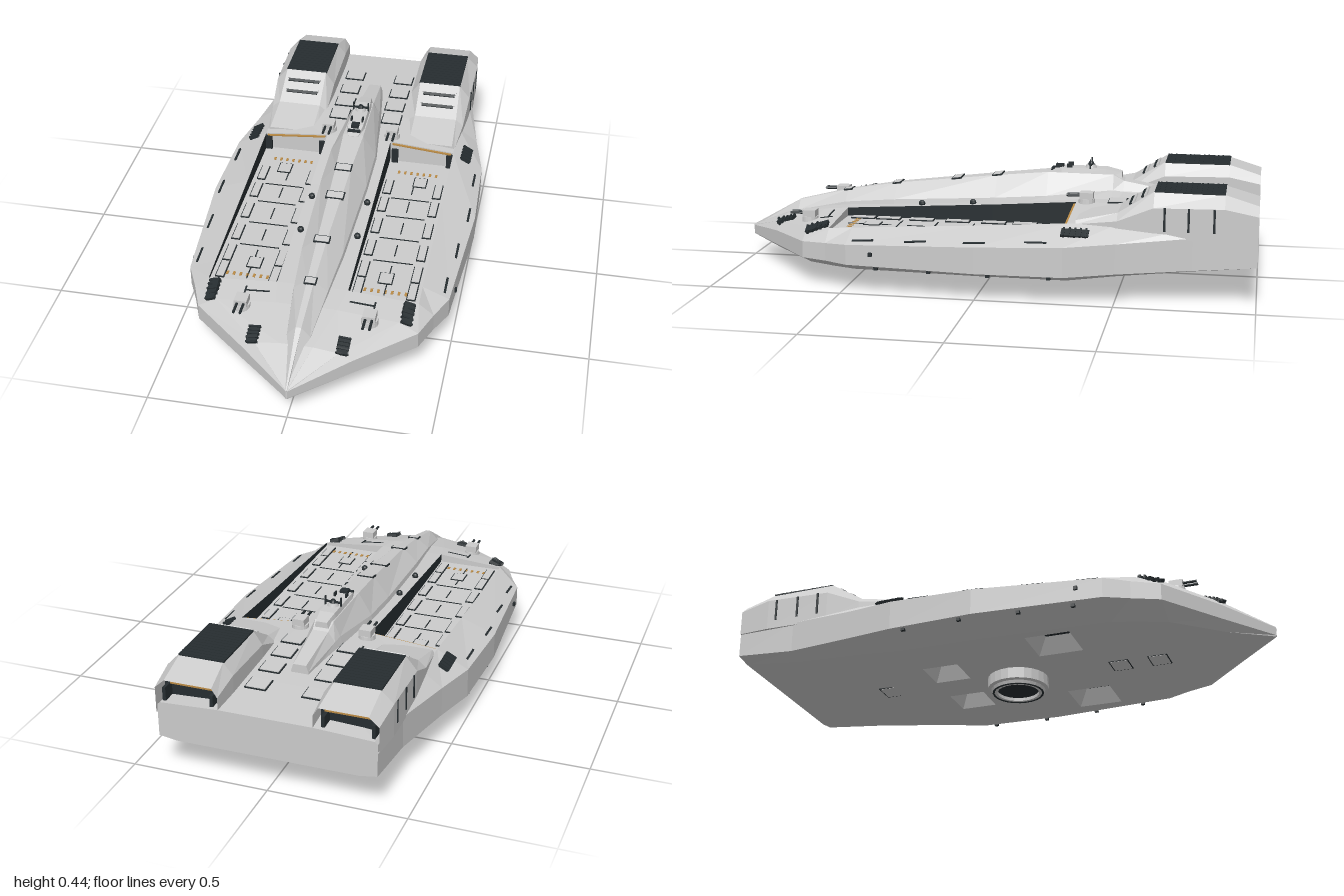
import * as THREE from 'three';

const material = (color) => new THREE.MeshStandardMaterial({ color, flatShading: true, side: THREE.DoubleSide });
const GREY = material(0xcccccc), DARK = material(0x262d30), AMBER = material(0xb98a45);

// hull stations: z, bottom half-width, bottom y, side half-width, chine y, side top y, shoulder x, y, inner deck x, y
const HULL = [
  [1, 0.001, 0.085, 0.002, 0.09, 0.12, 0.0015, 0.122, 0.001, 0.123],
  [0.84, 0.14, 0.067, 0.195, 0.095, 0.15, 0.15, 0.178, 0.06, 0.19],
  [0.67, 0.3, 0.061, 0.4, 0.103, 0.165, 0.33, 0.205, 0.11, 0.225],
  [0.57, 0.34, 0.06, 0.44, 0.105, 0.172, 0.385, 0.216, 0.13, 0.237],
  [0.48, 0.37, 0.06, 0.483, 0.105, 0.18, 0.385, 0.222, 0.13, 0.243],
  [0, 0.39, 0.06, 0.516, 0.102, 0.2, 0.385, 0.25, 0.13, 0.272],
  [-0.32, 0.39, 0.06, 0.503, 0.1, 0.21, 0.385, 0.272, 0.13, 0.295],
  [-0.5, 0.37, 0.08, 0.46, 0.11, 0.22, 0.385, 0.275, 0.15, 0.3],
  [-0.77, 0.34, 0.103, 0.405, 0.122, 0.24, 0.38, 0.27, 0.17, 0.29],
  [-1, 0.33, 0.13, 0.395, 0.14, 0.26, 0.385, 0.27, 0.17, 0.28],
];
const PIT_FIRST = 3, PIT_LAST = 6, FLOOR = 0.205;

// spine stations: z, base half-width, base y, middle half-width, y, top half-width, y
const SPINE = [
  [1, 0.003, 0.1, 0.003, 0.115, 0.002, 0.124],
  [0.8, 0.05, 0.16, 0.042, 0.2, 0.01, 0.236],
  [0.6, 0.07, 0.2, 0.062, 0.245, 0.013, 0.285],
  [0.4, 0.085, 0.22, 0.077, 0.265, 0.018, 0.32],
  [0, 0.1, 0.24, 0.09, 0.29, 0.03, 0.367],
  [-0.2, 0.1, 0.26, 0.09, 0.305, 0.04, 0.388],
  [-0.45, 0.075, 0.27, 0.06, 0.33, 0.035, 0.385],
  [-0.49, 0.068, 0.27, 0.055, 0.325, 0.03, 0.362],
  [-0.69, 0.035, 0.27, 0.032, 0.3, 0.024, 0.325],
];

// nacelle stations: z, inner x, outer x, middle y, top inner x, top outer x, top y
const NACELLE = [
  [-0.35, 0.18, 0.385, 0.27, 0.2, 0.375, 0.283],
  [-0.5, 0.17, 0.4, 0.29, 0.2, 0.37, 0.315],
  [-0.63, 0.165, 0.408, 0.345, 0.2, 0.365, 0.397],
  [-0.88, 0.165, 0.41, 0.35, 0.2, 0.365, 0.393],
  [-1, 0.17, 0.4, 0.325, 0.19, 0.365, 0.357],
];

// Row of a station table interpolated at z
function stationAt(table, z) {
  let i = 0;
  while (i < table.length - 2 && table[i + 1][0] > z) i++;
  const a = table[i], b = table[i + 1], t = (z - a[0]) / (b[0] - a[0]);
  return a.map((v, k) => v + (b[k] - v) * t);
}

// Faceted skin through rows of points, each row being a cross-section
function loft(rows, { closed = true, capFront = false, capBack = false, skip = () => false } = {}) {
  const pos = [], n = rows[0].length;
  const tri = (a, b, c) => pos.push(...a, ...b, ...c);
  for (let i = 0; i < rows.length - 1; i++) {
    for (let j = 0; j < (closed ? n : n - 1); j++) {
      if (skip(i, j)) continue;
      const k = (j + 1) % n, a = rows[i][j], b = rows[i][k], c = rows[i + 1][k], d = rows[i + 1][j];
      tri(a, d, c);
      tri(a, c, b);
    }
  }
  const last = rows[rows.length - 1];
  for (let j = 1; j < n - 1; j++) {
    if (capFront) tri(rows[0][0], rows[0][j], rows[0][j + 1]);
    if (capBack) tri(last[0], last[j + 1], last[j]);
  }
  const g = new THREE.BufferGeometry();
  g.setAttribute('position', new THREE.Float32BufferAttribute(pos, 3));
  g.computeVertexNormals();
  return g;
}

// Full ring from the +x half, which runs from bottom centre to top centre
const mirrorRing = (half) => [...half, ...half.slice(1, -1).reverse().map(([x, y, z]) => [-x, y, z])];

export function createModel() {
  const model = new THREE.Group();
  const add = (name, geometry, mat = GREY, x = 0, y = 0, z = 0) => {
    const mesh = new THREE.Mesh(geometry, mat);
    mesh.name = name;
    mesh.position.set(x, y, z);
    model.add(mesh);
    return mesh;
  };
  const box = (name, w, h, d, x, y, z, mat = GREY) => add(name, new THREE.BoxGeometry(w, h, d), mat, x, y, z);
  const cyl = (name, r1, r2, h, x, y, z, mat = GREY, n = 16) => add(name, new THREE.CylinderGeometry(r1, r2, h, n), mat, x, y, z);

  // Height of the deck at any point
  const deckY = (x, z) => {
    const r = stationAt(HULL, z), p = [[r[3], r[5]], [r[6], r[7]], [r[8], r[9]], [0, r[9]]];
    const k = Math.abs(x) > r[6] ? 0 : Math.abs(x) > r[8] ? 1 : 2;
    return p[k][1] + (p[k + 1][1] - p[k][1]) * (p[k][0] - Math.abs(x)) / (p[k][0] - p[k + 1][0]);
  };
  // Box lying on the deck slope
  const onDeck = (name, w, h, d, x, z, mat) => {
    const m = box(name, w, h, d, x, deckY(x, z) + h / 2 - 0.004, z, mat), e = 0.01;
    m.rotation.x = -Math.atan((deckY(x, z + e) - deckY(x, z - e)) / (2 * e));
    m.rotation.z = Math.atan((deckY(x + e, z) - deckY(x - e, z)) / (2 * e));
    return m;
  };

  // Hull, left open for the two deck wells and the flat middle of the belly
  const inWell = (i) => i >= PIT_FIRST && i < PIT_LAST;
  const hullRows = HULL.map(([z, wb, yb, w, yc, ys, sx, sy, ix, iy]) =>
    mirrorRing([[0, yb, z], [wb, yb, z], [w, yc, z], [w, ys, z], [sx, sy, z], [ix, iy, z], [0, iy, z]]));
  add('hull', loft(hullRows, { capFront: true, capBack: true, skip: (i, j) => inWell(i) && [0, 4, 7, 11].includes(j) }));

  // Belly with four tapered recesses
  const middle = HULL.slice(PIT_FIRST, PIT_LAST + 1);
  const belly = new THREE.Shape([...middle.map((r) => new THREE.Vector2(r[1], r[0])),
    ...middle.slice().reverse().map((r) => new THREE.Vector2(-r[1], r[0]))]);
  const square = (x, y, z, a) => [[x - a, y, z - a], [x - a, y, z + a], [x + a, y, z + a], [x + a, y, z - a]];
  for (const [x, z, a] of [[0.26, 0.23, 0.085], [0.14, -0.24, 0.07]]) {
    for (const s of [1, -1]) {
      belly.holes.push(new THREE.Path(square(s * x, 0, z, a).map((p) => new THREE.Vector2(p[0], p[2]))));
      add('bellyRecess', loft([square(s * x, 0.06, z, a), square(s * x, 0.12, z, a * 0.55)]), GREY);
      box('bellyRecessHatch', a * 1.1, 0.004, a * 1.1, s * x, 0.12, z, DARK);
    }
  }
  add('belly', new THREE.ShapeGeometry(belly).rotateX(Math.PI / 2), GREY, 0, 0.06, 0);
  for (const [z, y] of [[0.56, 0.06], [0.41, 0.06], [-0.53, 0.083]]) {
    box('bellyPanelSeam', 0.09, 0.004, 0.075, 0, y, z, DARK);
    box('bellyPanel', 0.082, 0.006, 0.067, 0, y, z);
  }

  // Belly drum: a lathed ring with a dark core
  const drum = [[0.078, 0.03], [0.08, 0.003], [0.1, 0.003], [0.104, 0.014], [0.117, 0.018], [0.117, 0.065]];
  add('bellyDrum', new THREE.LatheGeometry(drum.map(([x, y]) => new THREE.Vector2(x, y)), 24));
  cyl('bellyDrumCore', 0.08, 0.08, 0.02, 0, 0.025, 0, DARK, 24);
  cyl('bellyDrumLip', 0.105, 0.1, 0.01, 0, 0.005, 0, DARK, 24).geometry = new THREE.TorusGeometry(0.095, 0.005, 6, 24).rotateX(Math.PI / 2);

  // Central spine and bridge
  add('spine', loft(SPINE.map(([z, wb, yb, wm, ym, wt, yt]) =>
    mirrorRing([[0, yb, z], [wb, yb, z], [wm, ym, z], [wt, yt, z], [0, yt, z]])), { capFront: true, capBack: true }));
  for (const [z, w, d] of [[0.6, 0.045, 0.035], [0.4, 0.06, 0.035], [0.16, 0.07, 0.04], [0, 0.065, 0.04]]) {
    const y = stationAt(SPINE, z)[6];
    box('spinePanelSeam', w, 0.006, d, 0, y, z, DARK).rotation.x = 0.14;
    box('spinePanel', w - 0.008, 0.009, d - 0.008, 0, y, z).rotation.x = 0.14;
  }
  const bridge = (z, w, y) => [[-w, 0.37, z], [w, 0.37, z], [w * 0.8, y, z], [-w * 0.8, y, z]];
  add('bridge', loft([bridge(-0.19, 0.025, 0.388), bridge(-0.25, 0.038, 0.405), bridge(-0.42, 0.036, 0.405), bridge(-0.48, 0.026, 0.392)], { capFront: true, capBack: true }));
  box('bridgeWindow', 0.05, 0.008, 0.012, 0, 0.397, -0.215, DARK);
  cyl('sensorBase', 0.018, 0.022, 0.012, 0, 0.41, -0.36);
  cyl('sensorDome', 0.008, 0.014, 0.012, 0, 0.421, -0.36, DARK, 10);
  for (const s of [1, -1]) {
    box('sensorArm', 0.024, 0.005, 0.01, s * 0.018, 0.418, -0.36, DARK);
    box('bridgeMast', 0.005, 0.035, 0.005, s * 0.03, 0.421, -0.36, DARK);
    box('bridgeAerial', 0.006, 0.018, 0.02, s * 0.022, 0.41, -0.28, DARK);
  }
  box('bridgeRadar', 0.03, 0.012, 0.03, 0, 0.408, -0.24, DARK);

  for (const s of [1, -1]) {
    // Deck well: floor, dark side walls and end walls
    const strip = (a, b) => middle.map((r) => [a(r), b(r)].map(([x, y]) => [s * x, y, r[0]]));
    add('wellOuterWall', loft(strip((r) => [r[6], r[7]], (r) => [r[6], FLOOR]), { closed: false }), DARK);
    add('wellInnerWall', loft(strip((r) => [r[8], FLOOR], (r) => [r[8], r[9]]), { closed: false }), DARK);
    add('wellFloor', loft(strip((r) => [s > 0 ? r[6] : r[8], FLOOR], (r) => [s > 0 ? r[8] : r[6], FLOOR]), { closed: false }));
    for (const r of [middle[0], middle[middle.length - 1]]) {
      add('wellEndWall', loft([[[s * r[8], r[9], r[0]], [s * r[6], r[7], r[0]]], [[s * r[8], FLOOR, r[0]], [s * r[6], FLOOR, r[0]]]], { closed: false }));
    }
    box('wellEndStrip', 0.24, 0.005, 0.008, s * 0.258, 0.277, -0.315, AMBER).rotation.z = -s * 0.09;
    for (const x of [0.15, 0.372]) box('wellEndPillar', 0.026, 0.06, 0.012, s * x, FLOOR + 0.03, -0.312, DARK);

    // Well floor fittings
    for (const z of [-0.13, -0.01, 0.13, 0.27, 0.4, 0.5]) {
      for (const x of [0.155, 0.352]) {
        box('floorLockerSeam', 0.034, 0.008, 0.094, s * x, FLOOR, z, DARK);
        box('floorLocker', 0.027, 0.014, 0.087, s * x, FLOOR, z);
      }
      box('floorSeam', 0.004, 0.004, 0.07, s * 0.253, FLOOR, z, DARK);
    }
    for (const z of [-0.06, 0.06, 0.2, 0.34]) box('floorCrossSeam', 0.15, 0.004, 0.004, s * 0.253, FLOOR, z, DARK);
    for (const [x, z] of [[0.275, -0.18], [0.245, 0.44]]) {
      box('floorHatchSeam', 0.054, 0.006, 0.064, s * x, FLOOR, z, DARK);
      box('floorHatch', 0.047, 0.009, 0.057, s * x, FLOOR, z);
    }
    for (let i = 0; i < 7; i++) {
      for (const z of [-0.24, 0.515]) box('floorMarker', 0.009, 0.004, 0.018, s * (0.18 + i * 0.025), FLOOR, z, AMBER);
    }

    // Engine nacelle with open stern
    const shell = NACELLE.map(([z, xi, xo, ym, ti, to, yt]) => {
      const ring = [[xi, 0.23, z], [xo, 0.23, z], [xo, ym, z], [to, yt, z], [ti, yt, z], [xi, ym, z]];
      return s > 0 ? ring : ring.map(([x, y, w]) => [-x, y, w]).reverse();
    });
    add('nacelle', loft(shell, { capFront: true }));
    box('engineBack', 0.22, 0.085, 0.01, s * 0.285, 0.285, -0.93, DARK);
    box('engineStrip', 0.17, 0.006, 0.02, s * 0.28, 0.325, -0.945, AMBER);
    for (const x of [0.2, 0.375]) box('engineFrame', 0.012, 0.06, 0.05, s * x, 0.29, -0.96, DARK);

    // Roof grille, slope slats and side slots
    box('roofGrille', 0.17, 0.006, 0.25, s * 0.282, 0.395, -0.755, DARK);
    for (let i = 0; i < 13; i++) box('grilleBar', 0.168, 0.005, 0.006, s * 0.282, 0.397, -0.643 - i * 0.0187, DARK);
    for (const [y, z] of [[0.344, -0.545], [0.372, -0.588]]) {
      box('slopeSlat', 0.13, 0.009, 0.012, s * 0.285, y, z, DARK).rotation.x = 0.57;
      box('slopeSlatCover', 0.14, 0.009, 0.012, s * 0.285, y + 0.006, z - 0.01).rotation.x = 0.57;
    }
    for (const z of [-0.67, -0.755, -0.845]) box('sideSlot', 0.006, 0.085, 0.008, s * 0.409, 0.305, z, DARK);

    // Aft deck panels
    for (const [x, z] of [[0.105, -0.805], [0.105, -0.685], [0.105, -0.575], [0.108, -0.475]]) {
      onDeck('aftPanelSeam', 0.08, 0.008, 0.07, s * x, z, DARK);
      onDeck('aftPanel', 0.072, 0.011, 0.062, s * x, z);
    }

    // Louvred deck pads
    for (const [x, z, d] of [[0.355, 0.625, 0.09], [0.16, 0.81, 0.07], [0.435, -0.355, 0.1]]) {
      onDeck('louvrePad', 0.038, 0.012, d, s * x, z, DARK);
      for (let i = 0; i < 5; i++) onDeck('louvre', 0.044, 0.016, 0.007, s * x, z + (i - 2) * d / 5, DARK);
    }

    // Twin-barrel turrets on the bow and beside the bridge
    for (const [x, z] of [[0.23, 0.69], [0.13, -0.36]]) {
      const y = deckY(x, z);
      cyl('turretBase', 0.03, 0.032, 0.02, s * x, y + 0.004, z);
      box('turretBody', 0.046, 0.026, 0.05, s * x, y + 0.026, z);
      for (const o of [-0.012, 0.012]) {
        cyl('turretBarrel', 0.005, 0.005, 0.06, s * x + o, y + 0.027, z + 0.045, DARK, 8).rotation.x = Math.PI / 2;
      }
    }

    // Rim sensors, bow seams, hull side seams and fender pegs
    for (const z of [0.28, 0.08]) add('rimSensor', new THREE.SphereGeometry(0.013, 8, 6), DARK, s * 0.108, deckY(0.108, z) + 0.006, z);
    onDeck('bowSeam', 0.09, 0.006, 0.006, s * 0.19, 0.62, DARK);
    onDeck('bowSeam', 0.006, 0.006, 0.05, s * 0.235, 0.625, DARK);
    for (const z of [0.42, 0.22, 0, -0.22]) {
      onDeck('sideDeckSeam', 0.008, 0.007, 0.08, s * (stationAt(HULL, z)[3] - 0.025), z, DARK);
      box('fenderPeg', 0.012, 0.02, 0.014, s * (stationAt(HULL, z)[3] - 0.014), 0.098, z - 0.05, DARK);
    }
    box('sidePort', 0.008, 0.014, 0.014, s * 0.495, 0.15, 0.385, DARK);
  }
  return model;
}
